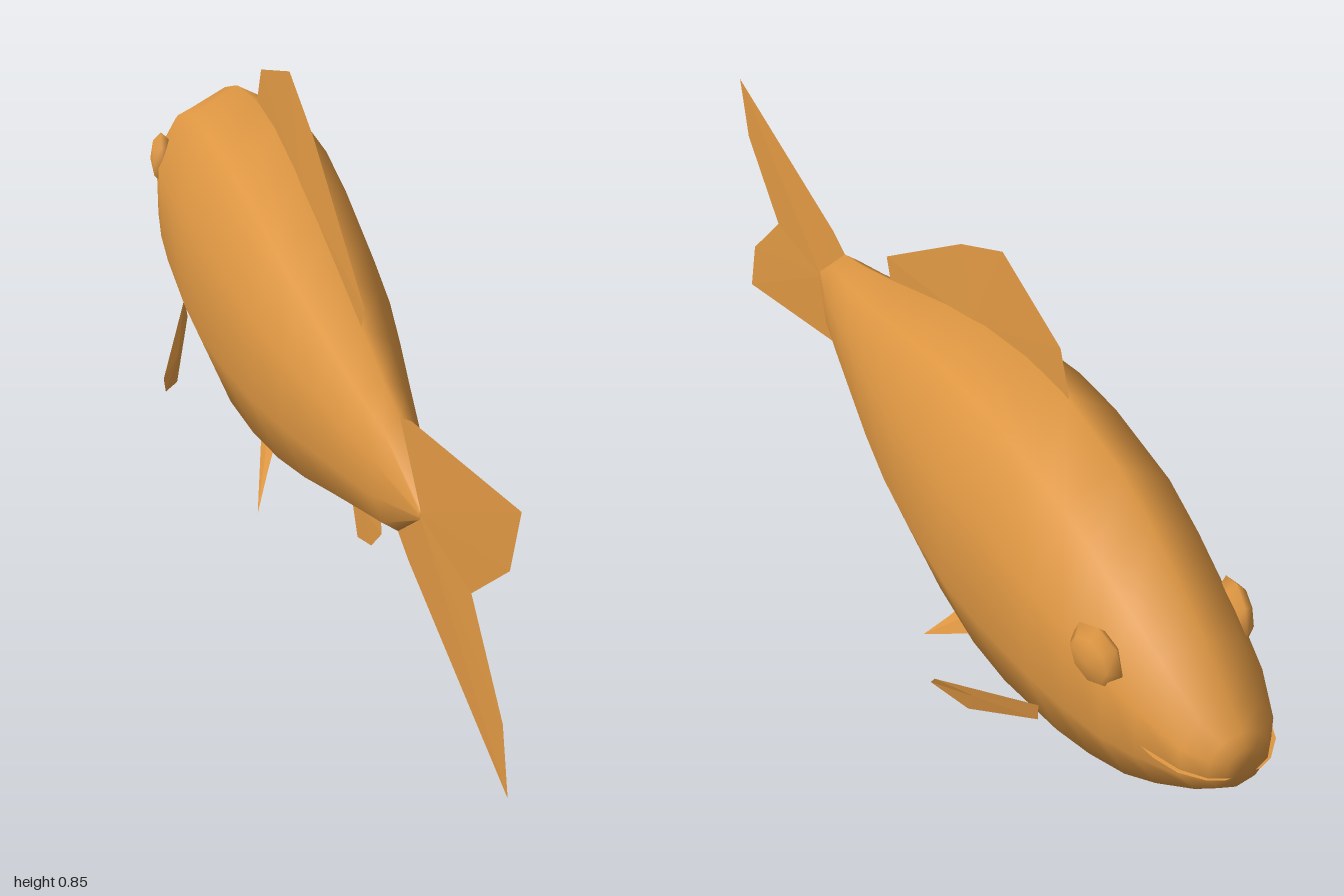
import * as THREE from 'three';

const scales = new THREE.MeshStandardMaterial({ color: 0xe09843, side: THREE.DoubleSide });
scales.name = 'orange scales';

// Smooth body lofted from ten-sided rings: [z, top y, bottom y, half width]
const RINGS = [
  [-1.0, 0.425, 0.365, 0.03],
  [-0.985, 0.445, 0.338, 0.055],
  [-0.95, 0.472, 0.308, 0.085],
  [-0.87, 0.538, 0.247, 0.116],
  [-0.795, 0.585, 0.198, 0.134],
  [-0.7, 0.637, 0.156, 0.15],
  [-0.6, 0.678, 0.121, 0.159],
  [-0.42, 0.706, 0.082, 0.166],
  [-0.3, 0.706, 0.076, 0.166],
  [-0.15, 0.686, 0.092, 0.155],
  [0.0, 0.645, 0.125, 0.138],
  [0.13, 0.6, 0.165, 0.115],
  [0.25, 0.558, 0.21, 0.091],
  [0.37, 0.522, 0.253, 0.067],
  [0.465, 0.5, 0.285, 0.047],
  [0.585, 0.402, 0.378, 0.006],
];
const SIDES = 10;

function bodyGeometry() {
  const pos = [], index = [];
  for (const [z, top, bottom, w] of RINGS) {
    for (let i = 0; i < SIDES; i++) {
      const a = (i / SIDES) * Math.PI * 2;
      pos.push(Math.sin(a) * w, (top + bottom) / 2 + Math.cos(a) * (top - bottom) / 2, z);
    }
  }
  for (let r = 0; r < RINGS.length - 1; r++) {
    for (let i = 0; i < SIDES; i++) {
      const j = (i + 1) % SIDES;
      const a = r * SIDES + i, b = r * SIDES + j, c = a + SIDES, d = b + SIDES;
      index.push(a, b, c, b, d, c);
    }
  }
  // End caps
  const nose = pos.length / 3, last = (RINGS.length - 1) * SIDES;
  pos.push(0, 0.395, -1, 0, 0.39, 0.59);
  for (let i = 0; i < SIDES; i++) {
    const j = (i + 1) % SIDES;
    index.push(nose, j, i, nose + 1, last + i, last + j);
  }
  const g = new THREE.BufferGeometry();
  g.setAttribute('position', new THREE.Float32BufferAttribute(pos, 3));
  g.setIndex(index);
  g.computeVertexNormals();
  return g;
}

// Thin lens: a flat outline with a slightly raised hub on each face
function lens(outline, hub, thickness) {
  const pts = outline.map((p) => new THREE.Vector3(...p));
  const centre = new THREE.Vector3(...hub);
  const normal = new THREE.Vector3();
  pts.forEach((p, i) => {
    const q = pts[(i + 1) % pts.length];
    normal.add(p.clone().sub(centre).cross(q.clone().sub(centre)));
  });
  normal.setLength(thickness / 2);
  const front = centre.clone().add(normal), back = centre.clone().sub(normal);
  const tris = [];
  pts.forEach((p, i) => {
    const q = pts[(i + 1) % pts.length];
    tris.push(front, p, q, back, q, p);
  });
  const g = new THREE.BufferGeometry().setFromPoints(tris);
  g.computeVertexNormals();
  return g;
}

// Upright fin on the centre line, given as [z, y] pairs
const uprightFin = (outline, hub, thickness) =>
  lens(outline.map(([z, y]) => [0, y, z]), [0, hub[1], hub[0]], thickness);

export function createModel() {
  const model = new THREE.Group();
  model.name = 'fish';
  const add = (name, geometry) => {
    const mesh = new THREE.Mesh(geometry, scales);
    mesh.name = name;
    model.add(mesh);
    return mesh;
  };

  add('body', bodyGeometry());

  // Fins on the centre line
  add('tailFin', uprightFin([
    [0.43, 0.48], [0.463, 0.5], [0.522, 0.525], [1, 0.643], [0.967, 0.525], [0.817, 0.39],
    [0.967, 0.257], [1, 0.145], [0.522, 0.262], [0.463, 0.284], [0.43, 0.3],
  ], [0.58, 0.39], 0.008));
  add('dorsalFin', uprightFin([
    [0.24, 0.52], [0.25, 0.56], [0.265, 0.6], [-0.046, 0.787], [-0.2, 0.852],
    [-0.404, 0.782], [-0.436, 0.71], [-0.42, 0.64],
  ], [-0.1, 0.66], 0.012));
  add('analFin', uprightFin([
    [0.36, 0.29], [0.372, 0.246], [0.377, 0.225], [0.319, 0.166], [0.238, 0.134],
    [0.2, 0.198], [0.19, 0.24],
  ], [0.28, 0.22], 0.008));

  // Mouth crease around the snout
  const lip = [[0.108, -0.87], [0.103, -0.91], [0.086, -0.955], [0.056, -0.988], [0.03, -1]];
  add('mouth', lens([
    ...lip.map(([x, z]) => [x, 0.376, z]),
    ...lip.slice().reverse().map(([x, z]) => [-x, 0.376, z]),
  ], [0, 0.376, -0.93], 0.006));

  // Paired parts
  for (const [side, s] of [['left', 1], ['right', -1]]) {
    const mirror = (points) => points.map(([x, y, z]) => [s * x, y, z]);

    add(side + 'PectoralFin', lens(mirror([
      [0.122, 0.228, -0.587], [0.213, 0.16, -0.383], [0.213, 0.14, -0.367],
      [0.175, 0.12, -0.436], [0.118, 0.19, -0.58],
    ]), [s * 0.17, 0.167, -0.46], 0.008));

    add(side + 'PelvicFin', lens(mirror([
      [0.03, 0.135, -0.17], [0.048, 0.1, -0.158], [0.066, 0.064, -0.137], [0.098, 0, -0.094],
      [0.055, 0.086, -0.228], [0.03, 0.135, -0.25],
    ]), [s * 0.052, 0.093, -0.185], 0.008));

    // Low, rounded eye lying along the cheek
    const eye = new THREE.SphereGeometry(1, 8, 4);
    eye.rotateZ(-Math.PI / 2);
    eye.scale(0.024, 0.055, 0.06);
    const mesh = add(side + 'Eye', eye);
    mesh.position.set(s * 0.122, 0.47, -0.765);
    mesh.rotation.y = s * 0.2;
  }
  return model;
}
